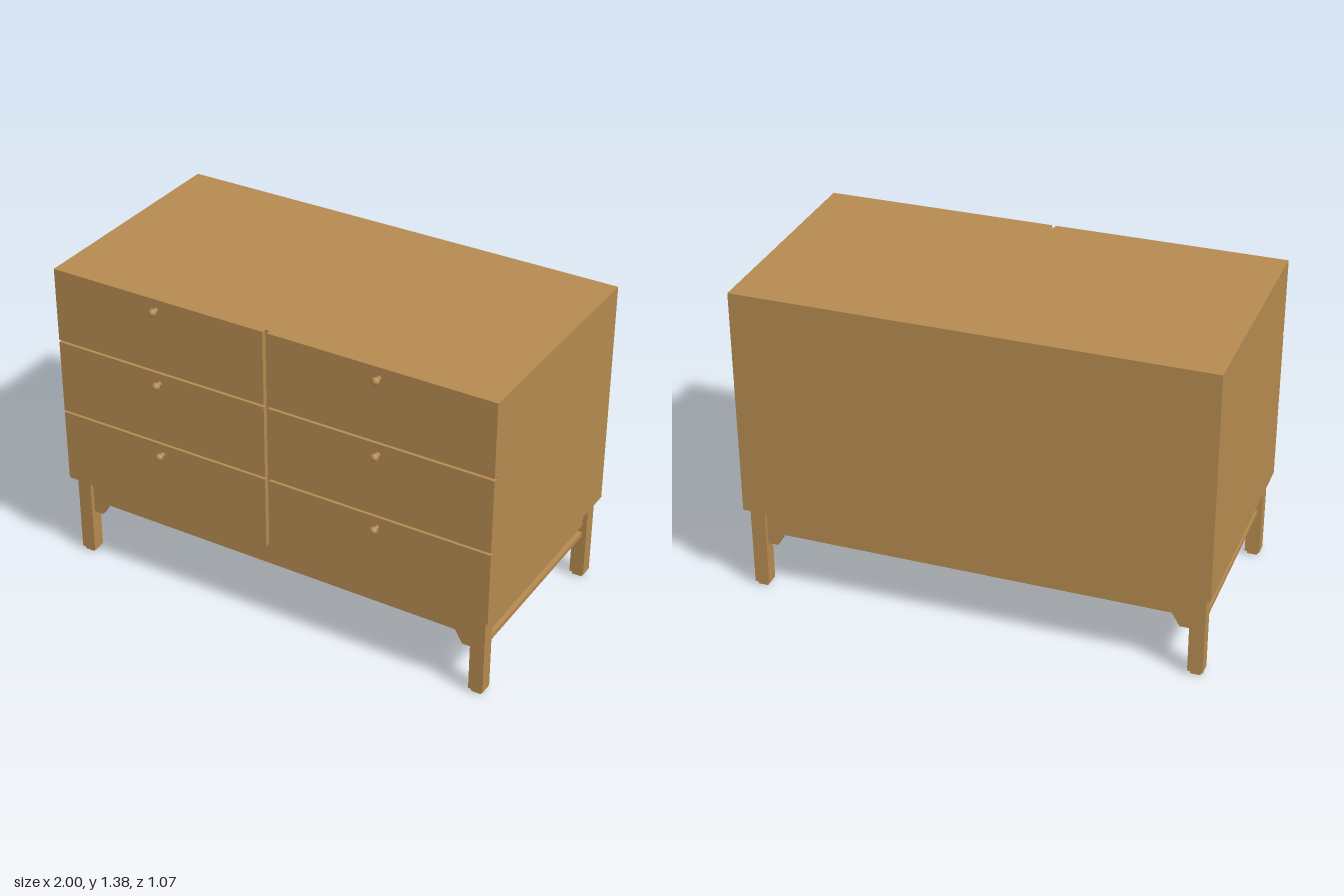
import * as THREE from 'three';

export function createModel() {
  const model = new THREE.Group();
  model.name = 'dresser';
  const wood = new THREE.MeshStandardMaterial({ color: 0xb58a50 });
  wood.name = 'oak wood';

  const add = (name, geometry, x = 0, y = 0, z = 0) => {
    const mesh = new THREE.Mesh(geometry, wood);
    mesh.name = name;
    mesh.position.set(x, y, z);
    model.add(mesh);
    return mesh;
  };
  // Box given by its minimum and maximum on each axis
  const box = (name, x0, x1, y0, y1, z0, z1) =>
    add(name, new THREE.BoxGeometry(x1 - x0, y1 - y0, z1 - z0), (x0 + x1) / 2, (y0 + y1) / 2, (z0 + z1) / 2);

  const base = 0.378, top = 1.378;
  const bodyFront = 0.473, drawerFront = 0.494;
  const legZ = 0.461, legMid = -0.0235; // leg centres lie at legMid ± legZ

  // Cabinet
  box('cabinet', -1, 1, base, top, -0.535, bodyFront);

  // Knob: flared neck and round head, turned along z
  const knobProfile = [new THREE.Vector2(0.011, 0), new THREE.Vector2(0.007, 0.004), new THREE.Vector2(0.007, 0.01)];
  for (let i = 1; i <= 10; i++) {
    const a = 0.42 + (i / 10) * (Math.PI - 0.42);
    knobProfile.push(new THREE.Vector2(Math.max(0, 0.0165 * Math.sin(a)), 0.0245 - 0.0165 * Math.cos(a)));
  }
  const knob = new THREE.LatheGeometry(knobProfile, 24).rotateX(Math.PI / 2);

  // Drawer fronts, three rows in two columns
  const gap = 0.01, height = (top - base - 2 * gap) / 3;
  for (const side of [-1, 1]) {
    for (let row = 0; row < 3; row++) {
      const y0 = base + row * (height + gap);
      const inner = side * 0.009;
      box('drawerFront', Math.min(inner, side), Math.max(inner, side), y0, y0 + height, bodyFront, drawerFront);
      add('knob', knob, side * 0.504, y0 + height - 0.047, drawerFront);
    }
  }

  // Legs with small foot pads
  for (const sx of [-1, 1]) {
    for (const sz of [-1, 1]) {
      const x = sx * 0.946, z = legMid + sz * legZ;
      box('leg', x - 0.032, x + 0.032, 0.015, base, z - 0.029, z + 0.029);
      box('footPad', x - 0.022, x + 0.022, 0, 0.015, z - 0.022, z + 0.022);
    }
  }

  // Front and back aprons with bracket ends
  const apron = new THREE.Shape([
    [-0.914, base], [-0.914, 0.208], [-0.87, 0.208], [-0.837, 0.265],
    [0.837, 0.265], [0.87, 0.208], [0.914, 0.208], [0.914, base],
  ].map(([x, y]) => new THREE.Vector2(x, y)));
  const apronGeometry = new THREE.ExtrudeGeometry(apron, { depth: 0.024, bevelEnabled: false });
  for (const sz of [-1, 1]) add(sz > 0 ? 'frontApron' : 'backApron', apronGeometry, 0, 0, legMid + sz * legZ - 0.012);

  // Side aprons and low stretchers between the legs
  const z0 = legMid - legZ + 0.029, z1 = legMid + legZ - 0.029;
  for (const sx of [-1, 1]) {
    const x = sx * 0.946;
    box('sideApron', x - 0.012, x + 0.012, 0.265, base, z0, z1);
    box('sideStretcher', x - 0.012, x + 0.012, 0.208, 0.23, z0, z1);
  }

  return model;
}
